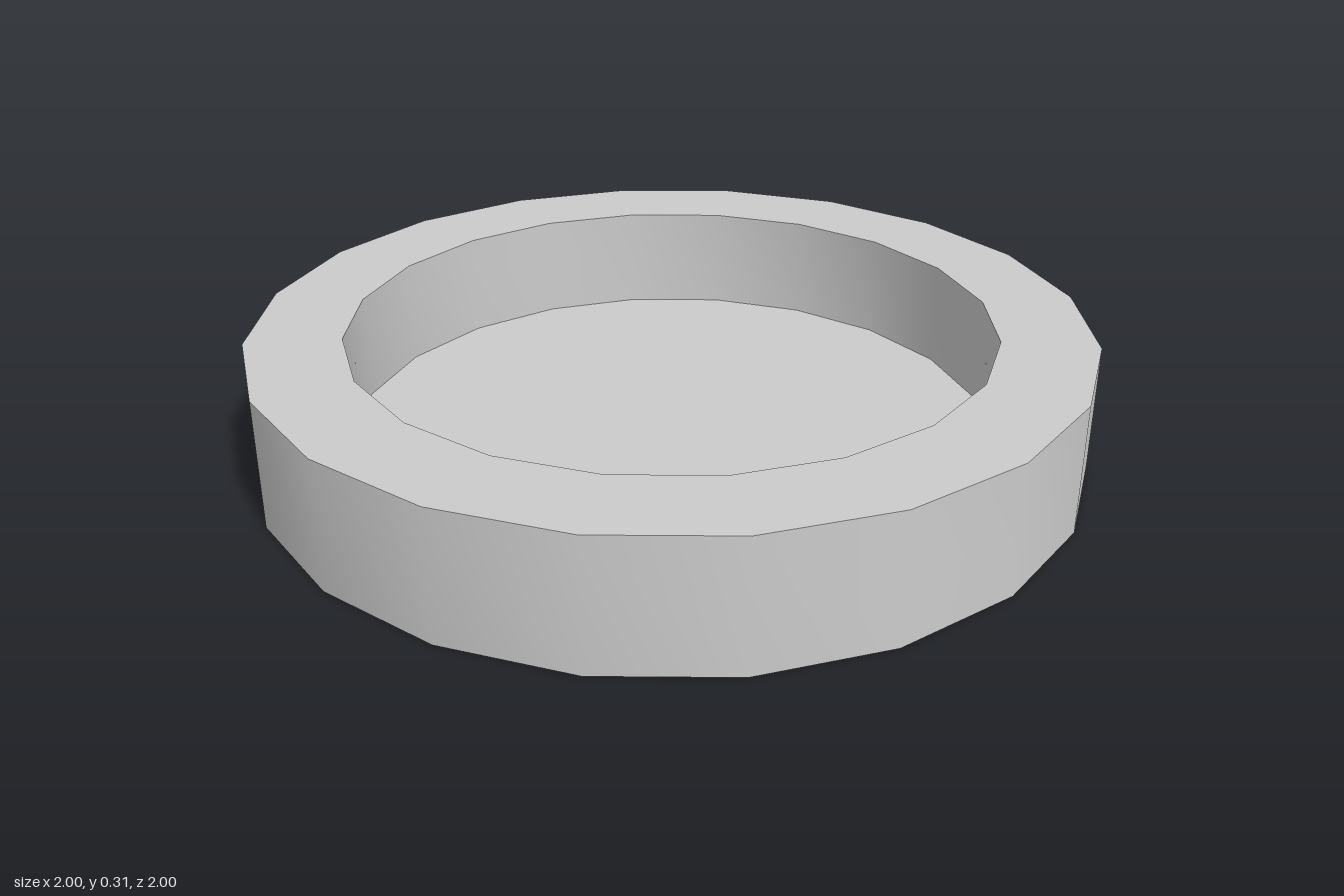
import * as THREE from 'three';
import { toCreasedNormals } from 'three/addons/utils/BufferGeometryUtils.js';

const SIDES = 20;
const RADIUS = 1, INNER_RADIUS = 0.773;
const HEIGHT = 0.31, FLOOR = 0.05;

export function createModel() {
  const model = new THREE.Group();
  model.name = 'shallowDish';

  // Closed cross-section: underside, outer wall, rim, inner wall, floor
  const profile = [
    [0, 0], [RADIUS, 0], [RADIUS, HEIGHT],
    [INNER_RADIUS, HEIGHT], [INNER_RADIUS, FLOOR], [0, FLOOR],
  ].map(([x, y]) => new THREE.Vector2(x, y));

  // Smooth round walls with sharp rim and floor edges
  const geometry = toCreasedNormals(new THREE.LatheGeometry(profile, SIDES), 0.6);
  const dish = new THREE.Mesh(geometry, new THREE.MeshStandardMaterial({ color: 0xcccccc }));
  dish.name = 'dish';
  model.add(dish);

  return model;
}
